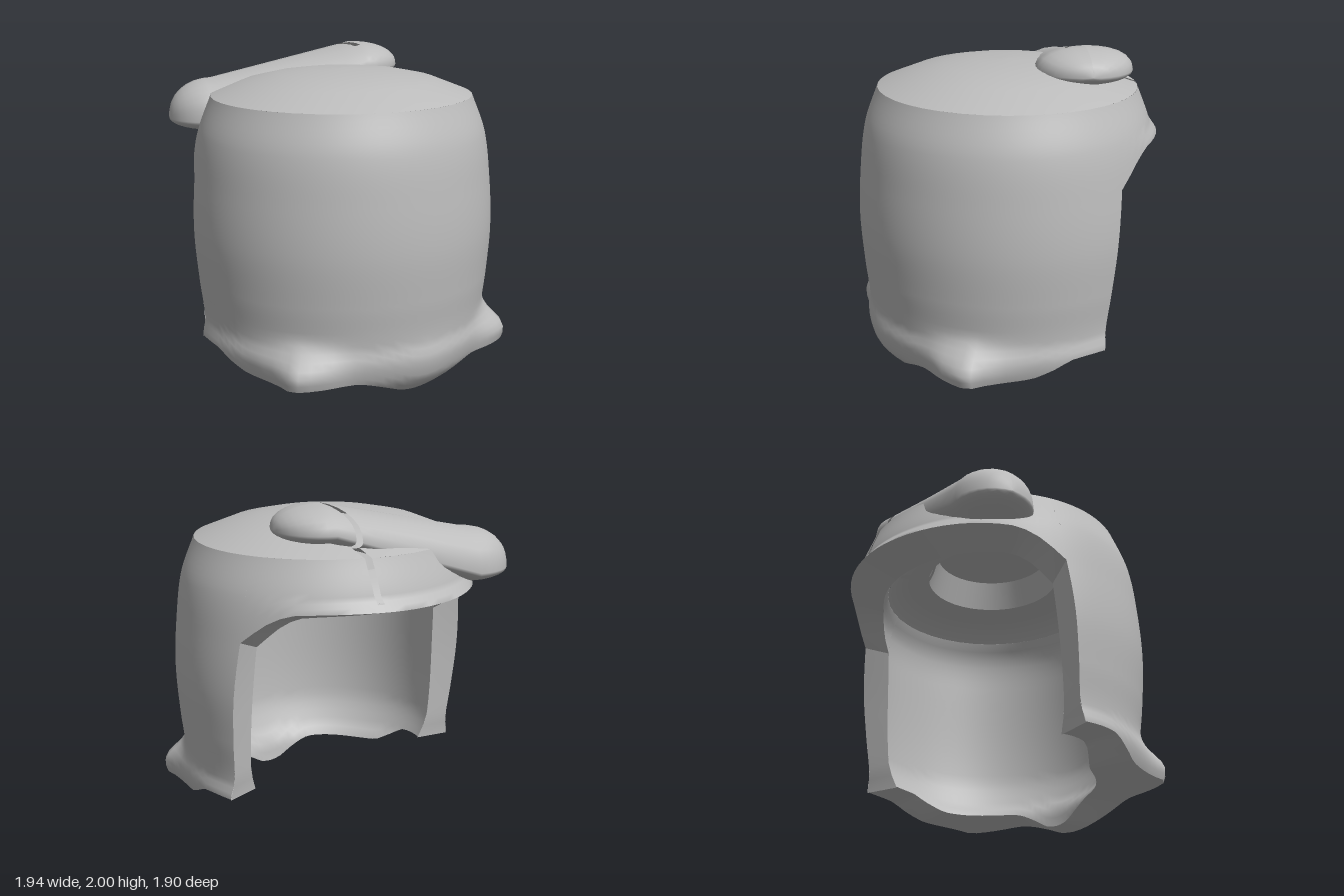
import * as THREE from 'three';
import { ParametricGeometry } from 'three/addons/geometries/ParametricGeometry.js';

const { clamp, lerp, smoothstep } = THREE.MathUtils;
const TOP = 1.73, CEILING = 1.42, DEPTH = 0.975;

// Smooth (Hermite) lookup in [[key, value], ...]
function interp(table, key) {
  const last = table.length - 1;
  const k = clamp(key, table[0][0], table[last][0]);
  const slope = (i) => {
    const a = table[Math.max(i - 1, 0)], b = table[Math.min(i + 1, last)];
    return (b[1] - a[1]) / (b[0] - a[0]);
  };
  let i = 0;
  while (i < last - 1 && k > table[i + 1][0]) i++;
  const [a, va] = table[i], [b, vb] = table[i + 1];
  const w = b - a, t = (k - a) / w, s = t * t * (3 - 2 * t);
  return lerp(va, vb, s) + w * t * (1 - t) * ((1 - t) * slope(i) - t * slope(i + 1));
}

// Radii by height, and the lower edge and flare by angle from the front
const OUTER = [[0, 0.8], [0.07, 0.88], [0.13, 0.92], [0.24, 0.945], [0.35, 0.925],
  [0.6, 0.95], [0.9, 0.97], [1.2, 0.955], [1.5, 0.915], [TOP, 0.83]];
const INNER = [[0, 0.62], [0.12, 0.64], [0.22, 0.71], [0.42, 0.775], [1.1, 0.775], [1.3, 0.755], [CEILING, 0.7]];
const HEM = [[0, 0], [0.12, 0.012], [0.28, 0.07], [0.45, 0.12], [0.6, 0.13], [1.25, 0.13], [1.42, 0.18], [1.57, 0.235], [2, 0.23]];
const FLARE = [[0, 0], [0.5, 0], [0.74, 0.1], [0.88, 0.145], [0.97, 0.085], [1.1, 0.03], [1.3, 0], [2, 0]];
const BRIM = [[0, 1.44], [0.7, 1.43], [0.85, 1.37], [1, 1.24]];

const polar = (r, th, y, out) => out.set(r * Math.sin(th), y, r * Math.cos(th) * DEPTH);
// Angle at which the side wall ends and the rear opening starts
const edgeAngle = (y) => Math.acos(lerp(-0.22, -0.32, clamp((y - 0.23) / 1.02, 0, 1)) / DEPTH / interp(OUTER, y));
const hemY = (a) => interp(HEM, Math.abs(a) * 1.82);
const brimY = (p) => interp(BRIM, Math.abs(p));

// Front wall: a runs -1..1 from one opening edge to the other
function wallPoint(a, y, inside, out) {
  const th = a * edgeAngle(y);
  const flare = interp(FLARE, Math.abs(th)) * smoothstep(0.42 - y, 0, 0.25);
  return polar(inside ? interp(INNER, y) : interp(OUTER, y) + flare, th, y, out);
}

// Rear band above the opening: p runs -1..1
function bandPoint(p, y, inside, out) {
  const th = Math.PI - p * (Math.PI - edgeAngle(y));
  const flare = 0.05 * (1 - p * p) ** 2 * clamp((1.52 - y) / 0.08, 0, 1);
  return polar(inside ? interp(INNER, y) : interp(OUTER, y) + flare, th, y, out);
}

// Ruled strip between two curves of u
function strip(curveA, curveB, n) {
  const a = new THREE.Vector3(), b = new THREE.Vector3();
  return new ParametricGeometry((u, v, t) => {
    curveA(u, a);
    curveB(u, b);
    t.lerpVectors(a, b, v);
  }, n, 1);
}

// Remove the narrow slot that runs through the roof
function cutSlot(geometry) {
  const geo = geometry.index ? geometry.toNonIndexed() : geometry;
  const P = geo.attributes.position, N = geo.attributes.normal;
  const planes = [[0, 0.28, 1], [0, 0.32, -1], [2, -0.24, -1], [1, 1.48, 1]];
  const pos = [], nor = [];
  const emit = (poly) => {
    for (let i = 2; i < poly.length; i++) {
      for (const q of [poly[0], poly[i - 1], poly[i]]) {
        pos.push(q[0], q[1], q[2]);
        nor.push(q[3], q[4], q[5]);
      }
    }
  };
  const clip = (poly, [axis, at, sign]) => {
    const out = [];
    poly.forEach((q, i) => {
      const r = poly[(i + 1) % poly.length];
      const d = (q[axis] - at) * sign, e = (r[axis] - at) * sign;
      if (d >= 0) out.push(q);
      if ((d >= 0) !== (e >= 0)) out.push(q.map((c, k) => lerp(c, r[k], d / (d - e))));
    });
    return out;
  };
  for (let i = 0; i < P.count; i += 3) {
    let rest = [0, 1, 2].map((k) => [P.getX(i + k), P.getY(i + k), P.getZ(i + k),
      N.getX(i + k), N.getY(i + k), N.getZ(i + k)]);
    for (const [axis, at, sign] of planes) {
      emit(clip(rest, [axis, at, -sign]));
      rest = clip(rest, [axis, at, sign]);
      if (rest.length < 3) break;
    }
  }
  const result = new THREE.BufferGeometry();
  result.setAttribute('position', new THREE.Float32BufferAttribute(pos, 3));
  result.setAttribute('normal', new THREE.Float32BufferAttribute(nor, 3));
  return result;
}

// Long rounded roll: domed above, shallow below, narrowing and sinking towards its far end
function rollGeometry() {
  const length = 0.955, radius = 0.285;
  const geo = new THREE.CapsuleGeometry(radius, length, 8, 24, 8).rotateZ(-Math.PI / 2);
  const p = geo.attributes.position;
  for (let i = 0; i < p.count; i++) {
    const t = clamp(p.getX(i) / length + 0.5, 0, 1), h = p.getY(i) / radius;
    const lift = h > 0 ? Math.pow(h, 0.85) * lerp(0.25, 0.145, t) : h * 0.08;
    p.setY(i, lerp(1.55, 1.855, t) + lift);
    p.setZ(i, p.getZ(i) * lerp(0.93, 1.06, t));
  }
  geo.rotateY(-0.308).translate(-0.115, 0, -0.5);
  geo.computeVertexNormals();
  return geo;
}

export function createModel() {
  const group = new THREE.Group();
  const grey = new THREE.MeshStandardMaterial({ color: 0xbcbcbc, side: THREE.DoubleSide });
  grey.name = 'plain grey';
  const add = (name, geo) => {
    const mesh = new THREE.Mesh(geo, grey);
    mesh.name = name;
    group.add(mesh);
  };
  const lathe = (pts) => new THREE.LatheGeometry(pts.map(([r, y]) => new THREE.Vector2(r, y)), 40).scale(1, 1, DEPTH);

  // Barrel wall, outside and inside
  add('outerWall', new ParametricGeometry((u, v, t) => {
    const a = u * 2 - 1;
    wallPoint(a, lerp(hemY(a), TOP, v), false, t);
  }, 56, 40));
  add('innerWall', new ParametricGeometry((u, v, t) => {
    const a = 1 - u * 2;
    wallPoint(a, lerp(hemY(a), CEILING, v), true, t);
  }, 56, 24));
  add('hem', strip(
    (u, t) => wallPoint(1 - u * 2, hemY(1 - u * 2), false, t),
    (u, t) => wallPoint(1 - u * 2, hemY(1 - u * 2), true, t), 56));

  // Flat faces along both sides of the opening
  for (const [a, name] of [[1, 'leftOpeningEdge'], [-1, 'rightOpeningEdge']]) {
    const y = (u) => lerp(0.23, 1.25, a > 0 ? u : 1 - u);
    add(name, strip((u, t) => wallPoint(a, y(u), true, t), (u, t) => wallPoint(a, y(u), false, t), 12));
  }

  // Band and brim over the opening
  add('rearBand', cutSlot(new ParametricGeometry((u, v, t) => {
    const p = u * 2 - 1;
    bandPoint(p, lerp(brimY(p), TOP, v), false, t);
  }, 28, 10)));
  add('rearBandInside', new ParametricGeometry((u, v, t) => {
    const p = 1 - u * 2;
    bandPoint(p, lerp(brimY(p) - 0.07, CEILING, v), true, t);
  }, 28, 4));
  add('brim', strip(
    (u, t) => bandPoint(1 - u * 2, brimY(1 - u * 2), false, t),
    (u, t) => bandPoint(1 - u * 2, brimY(1 - u * 2) - 0.07, true, t), 28));

  // Shallow domed roof, and the ceiling with its round recess
  add('roof', cutSlot(lathe([[0.83, TOP], [0.6, 1.82], [0.4, 1.862], [0.2, 1.885], [0, 1.89]])));
  add('ceiling', cutSlot(lathe([[0.7, CEILING], [0.64, 1.48], [0.55, 1.525], [0.43, 1.56]])));
  add('recessWall', cutSlot(lathe([[0.43, 1.56], [0.37, 1.74]])));
  add('recessTop', cutSlot(lathe([[0.37, 1.74], [0, 1.74]])));

  // Roll lying across the back of the roof
  add('roll', cutSlot(rollGeometry()));
  return group;
}
